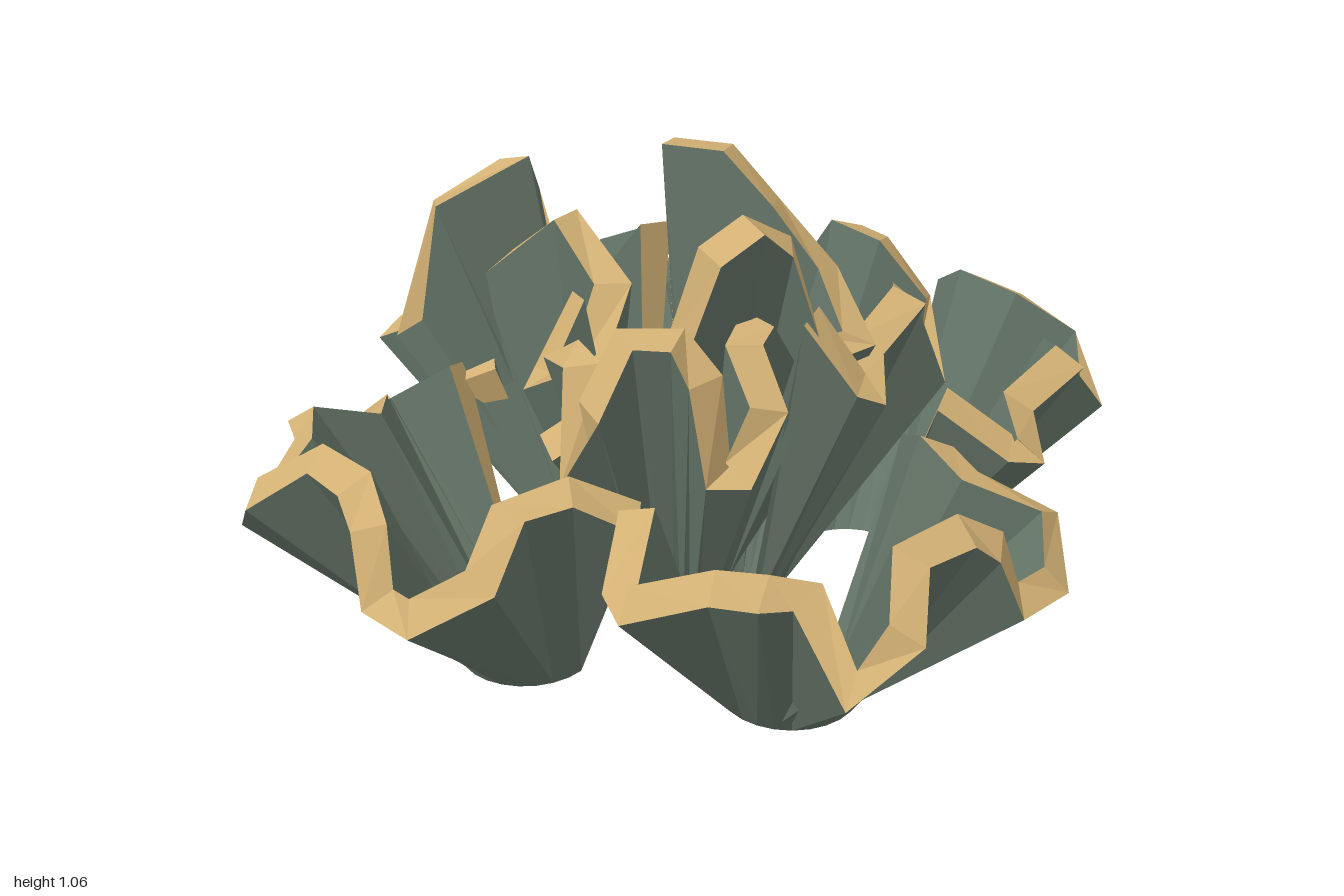
import * as THREE from 'three';

const body = new THREE.MeshStandardMaterial({ color: 0x647467, flatShading: true, side: THREE.DoubleSide });
body.name = 'grey green';
const gold = new THREE.MeshStandardMaterial({ color: 0xd2b074, flatShading: true, side: THREE.DoubleSide });
gold.name = 'pale gold';

// wavy outer rims, each relative to the centre of its foot arc
const RUFFLE = [
  [0.40, 0.45, -0.07], [0.36, 0.52, 0.05], [0.35, 0.51, 0.15], [0.47, 0.44, 0.27],
  [0.39, 0.35, 0.42], [0.25, 0.35, 0.46], [0.19, 0.49, 0.45], [0.13, 0.54, 0.45],
  [0.01, 0.54, 0.47], [-0.07, 0.45, 0.58], [-0.22, 0.34, 0.55], [-0.25, 0.49, 0.41],
  [-0.32, 0.50, 0.40], [-0.34, 0.44, 0.25], [-0.49, 0.40, 0.17], [-0.48, 0.42, 0.08],
  [-0.38, 0.52, -0.04],
];
const CROWN = [
  [0.06, 1.05, -0.20], [0.15, 1.05, -0.10], [0.22, 0.94, -0.02], [0.31, 0.80, 0.08],
  [0.29, 0.69, 0.27], [0.15, 0.69, 0.30], [0.08, 0.93, 0.27], [0.00, 1.00, 0.29],
  [-0.10, 0.95, 0.29], [-0.16, 0.72, 0.24], [-0.30, 0.62, 0.20], [-0.42, 0.54, 0.16],
];
const BACK = [
  [-0.22, 0.60, 0.14], [-0.10, 0.80, 0.07], [-0.12, 0.90, -0.08], [-0.24, 0.74, -0.22],
  [-0.41, 0.60, -0.31], [-0.30, 0.90, -0.32], [-0.15, 0.98, -0.29], [-0.07, 0.83, -0.44],
  [0.05, 0.70, -0.39], [0.13, 0.70, -0.21], [0.16, 0.85, -0.07],
];
const THICK = 0.08;

function quadsMesh(name, quads, material) {
  const pos = [];
  for (const [a, b, c, d] of quads) for (const p of [a, b, c, a, c, d]) pos.push(p.x, p.y, p.z);
  const g = new THREE.BufferGeometry();
  g.setAttribute('position', new THREE.Float32BufferAttribute(pos, 3));
  g.computeVertexNormals();
  const mesh = new THREE.Mesh(g, material);
  mesh.name = name;
  return mesh;
}

// pleated sheet from a foot arc (degrees, +x toward +z) up to a thick rim
function frond(name, profile, { footRadius, arc = [-25, 205], wide = 1, tall = 1 }) {
  const n = profile.length;
  const rim = profile.map(([x, y, z]) => new THREE.Vector3(x * wide, y * tall, z * wide));
  const foot = rim.map((_, i) => {
    const a = THREE.MathUtils.degToRad(THREE.MathUtils.lerp(arc[0], arc[1], i / (n - 1)));
    return new THREE.Vector3(Math.cos(a), 0, Math.sin(a)).multiplyScalar(footRadius);
  });
  // inner skin: shift the rim along the sheet's inward normal
  const rimIn = rim.map((p, i) => {
    const along = rim[Math.min(i + 1, n - 1)].clone().sub(rim[Math.max(i - 1, 0)]);
    const spoke = p.clone().sub(foot[i]);
    return along.cross(spoke).normalize().multiplyScalar(THICK).add(p);
  });
  const footIn = foot.map((p) => p.clone().multiplyScalar(0.93));

  const sheet = [], edge = [];
  for (let i = 0; i < n - 1; i++) {
    const j = i + 1;
    sheet.push([foot[i], rim[i], rim[j], foot[j]]);
    sheet.push([footIn[j], rimIn[j], rimIn[i], footIn[i]]);
    sheet.push([foot[i], foot[j], footIn[j], footIn[i]]);
    edge.push([rim[i], rimIn[i], rimIn[j], rim[j]]);
  }
  for (const i of [0, n - 1]) edge.push([foot[i], footIn[i], rimIn[i], rim[i]]);

  const g = new THREE.Group();
  g.name = name;
  g.add(quadsMesh(name + 'Sheet', sheet, body), quadsMesh(name + 'Rim', edge, gold));
  return g;
}

// turn a frond about the axis and push it outward
function place(g, angle, out) {
  const a = THREE.MathUtils.degToRad(angle);
  g.rotation.y = a;
  g.position.set(Math.sin(a) * out, 0, Math.cos(a) * out);
  return g;
}

export function createModel() {
  const model = new THREE.Group();
  model.name = 'ruffledCoral';

  // outer ring of four
  [1.0, 1.08, 1.13, 1.04].forEach((tall, i) => model.add(
    place(frond('outerFrond' + (i + 1), RUFFLE, { footRadius: 0.15, tall }), i * 90, 0.42)));

  // middle ring, steeper, rooted near the axis
  model.add(place(frond('middleFrontFrond', RUFFLE, { footRadius: 0.07, wide: 0.62, tall: 1.52 }), -46, 0.14));
  model.add(place(frond('middleRightFrond', RUFFLE, { footRadius: 0.07, wide: 0.74, tall: 1.5 }), 88, 0.14));
  const back = frond('middleBackFrond', BACK, { footRadius: 0.08, arc: [145, 335] });
  back.position.set(-0.1, 0, -0.15);
  model.add(back);

  // tall crown curling round the axis
  model.add(frond('crownFrond', CROWN, { footRadius: 0.05, arc: [-75, 160] }));
  return model;
}
